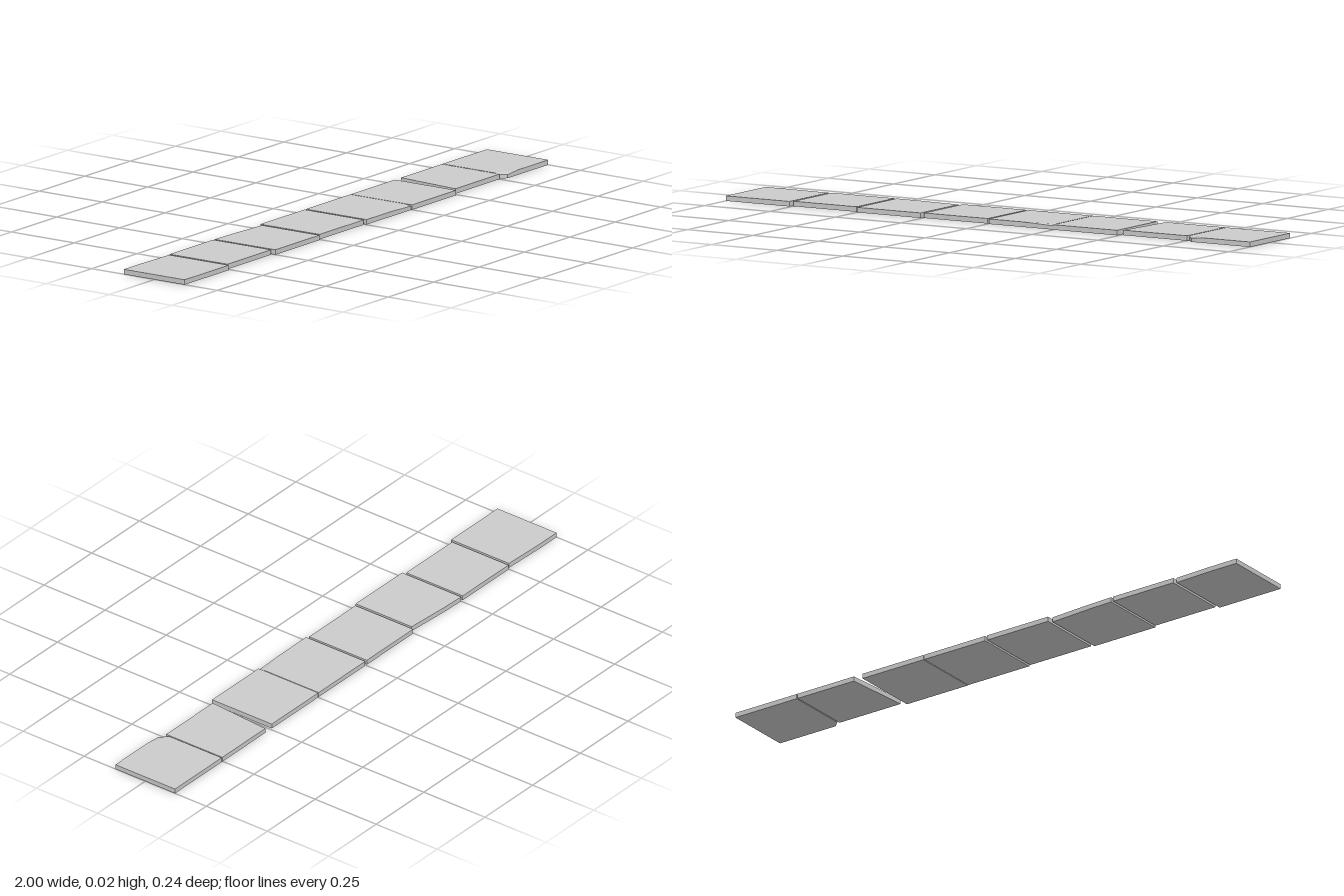
import * as THREE from 'three';
import { ConvexGeometry } from 'three/addons/geometries/ConvexGeometry.js';

const H = 0.0165; // slab thickness
const BACK = -0.122;
const FRONT = 0.122;

// Rectangle outline as [x, z] corners
const rect = (x0, x1, front = FRONT) => [[x0, BACK], [x1, BACK], [x1, front], [x0, front]];

// Each slab: floor outline, plus an optional top outline of [x, z, y] where a corner is chipped
const slabs = [
  { base: [[-1, BACK], [-0.91, BACK], [-0.757, -0.117], [-0.757, 0.12], [-1, 0.12]] },
  { base: rect(-0.748, -0.508, 0.109) },
  { base: [[-0.5, BACK], [-0.41, -0.119], [-0.257, -0.109], [-0.257, 0.12], [-0.5, 0.12]] },
  { base: rect(-0.248, -0.005, 0.114) },
  {
    base: rect(0.003, 0.247, 0.12),
    top: [[0.003, BACK], [0.247, BACK], [0.247, 0.095], [0.247, 0.12, 0.0125], [0.14, 0.12], [0.003, 0.12]],
  },
  { base: rect(0.25, 0.493) },
  { base: [[0.527, BACK], [0.752, BACK], [0.752, 0.108], [0.508, 0.108]] },
  {
    base: [[0.756, BACK], [1, BACK], [1, FRONT], [0.777, FRONT], [0.756, 0.101]],
    top: [[0.756, BACK], [1, BACK], [1, FRONT], [0.83, FRONT], [0.777, FRONT, 0.012],
      [0.756, 0.101, 0.013], [0.756, 0.09]],
  },
];

export function createModel() {
  const model = new THREE.Group();
  model.name = 'slabRow';
  const material = new THREE.MeshStandardMaterial({ color: 0xcccccc, flatShading: true });

  slabs.forEach(({ base, top = base }, i) => {
    const points = [
      ...base.map(([x, z]) => new THREE.Vector3(x, 0, z)),
      ...top.map(([x, z, y = H]) => new THREE.Vector3(x, y, z)),
    ];
    const slab = new THREE.Mesh(new ConvexGeometry(points), material);
    slab.name = `slab${i + 1}`;
    model.add(slab);
  });
  return model;
}
